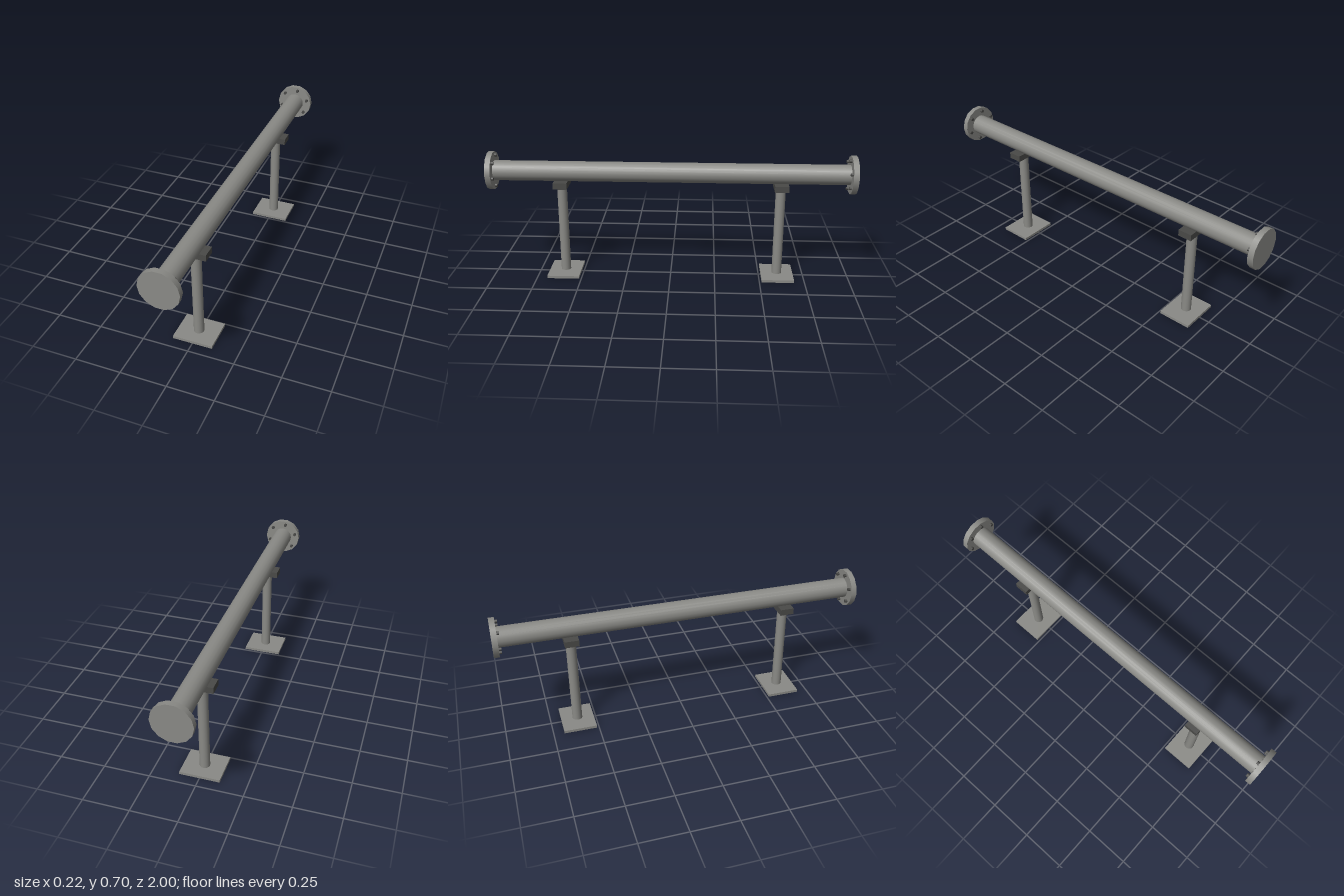
import * as THREE from 'three';

export function createModel() {
  const model = new THREE.Group();
  model.name = 'pipeOnSupports';

  const steel = new THREE.MeshStandardMaterial({ color: 0x8a8a86 });
  steel.name = 'grey steel';
  const dark = new THREE.MeshStandardMaterial({ color: 0x4a4a48 });
  dark.name = 'dark steel';

  const add = (parent, name, geometry, material, x, y, z) => {
    const mesh = new THREE.Mesh(geometry, material);
    mesh.name = name;
    mesh.position.set(x, y, z);
    parent.add(mesh);
    return mesh;
  };
  // Cylinder lying along z with a corner on the x axis
  const rod = (radius, length, sides) =>
    new THREE.CylinderGeometry(radius, radius, length, sides).rotateY(Math.PI / 2).rotateX(Math.PI / 2);

  const axisY = 0.6;
  add(model, 'pipe', rod(0.055, 1.95, 20), steel, 0, axisY, 0);

  // Blind flange with a ring of six bolts on its inner face; the front end is the back end turned round
  const flangeGeometry = rod(0.105, 0.03, 14);
  const boltGeometry = rod(0.009, 0.02, 8);
  for (const end of ['back', 'front']) {
    const group = new THREE.Group();
    group.name = end + 'Flange';
    group.position.y = axisY;
    group.rotation.y = end === 'front' ? Math.PI : 0;
    add(group, 'flangeDisc', flangeGeometry, steel, 0, 0, -0.985);
    for (let i = 0; i < 6; i++) {
      const a = 0.31 + (i * Math.PI) / 3;
      add(group, 'bolt', boltGeometry, dark, 0.084 * Math.cos(a), 0.084 * Math.sin(a), -0.967);
    }
    model.add(group);
  }

  // Two stands: base plate, post and saddle block
  const plateGeometry = new THREE.BoxGeometry(0.218, 0.015, 0.18);
  const postGeometry = new THREE.CylinderGeometry(0.0275, 0.0275, 0.505, 16);
  const saddleGeometry = new THREE.BoxGeometry(0.138, 0.035, 0.076);
  for (const side of [1, -1]) {
    const stand = new THREE.Group();
    stand.name = side > 0 ? 'frontStand' : 'backStand';
    stand.position.z = side * 0.602;
    add(stand, 'basePlate', plateGeometry, steel, 0, 0.0075, 0);
    add(stand, 'post', postGeometry, steel, 0, 0.2675, 0);
    add(stand, 'saddle', saddleGeometry, dark, 0, 0.532, 0);
    model.add(stand);
  }
  return model;
}
